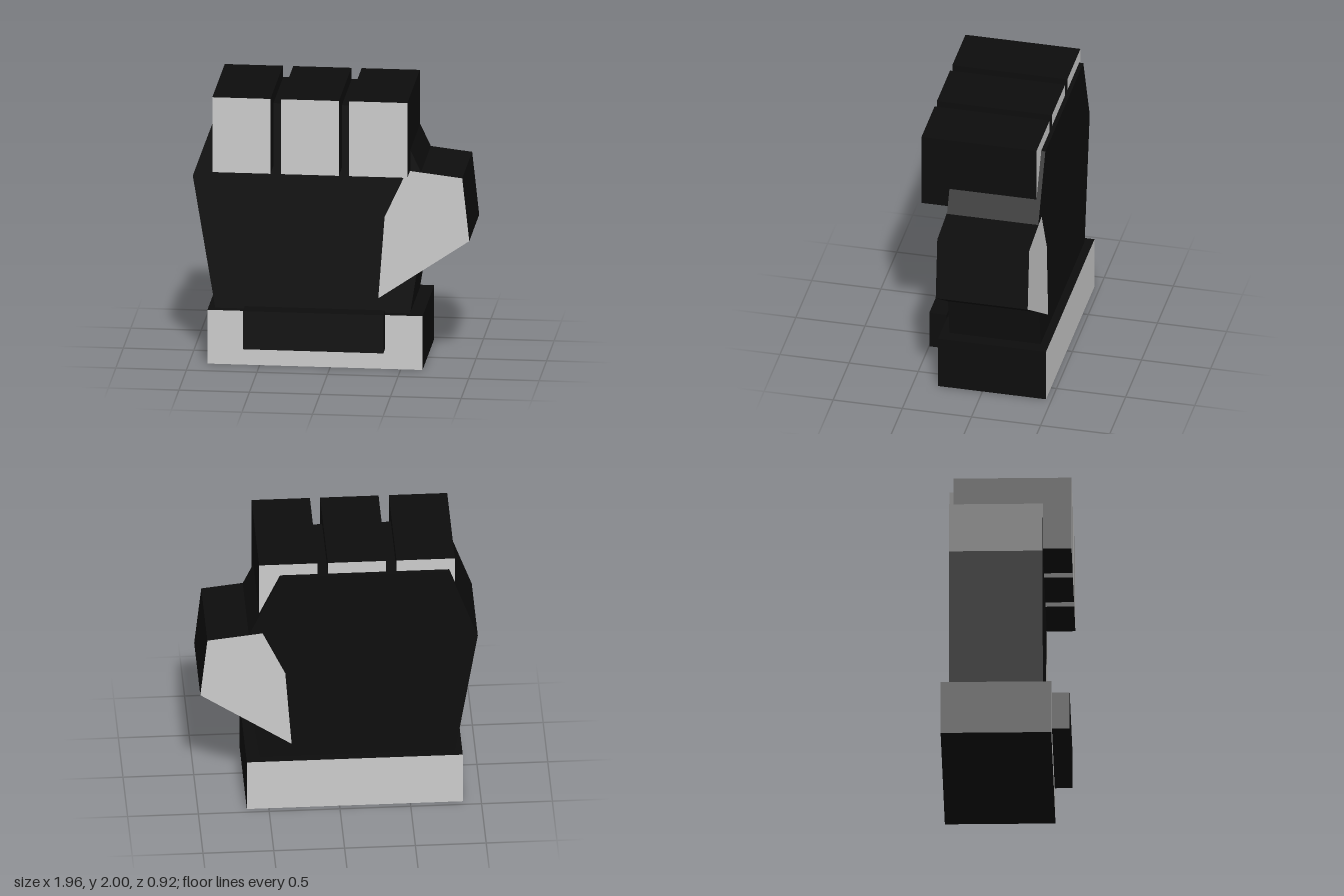
import * as THREE from 'three';

const grey = new THREE.MeshStandardMaterial({ color: 0xcccccc });
const black = new THREE.MeshStandardMaterial({ color: 0x0d0d0d });

// Box given by its [min, max] range on each axis; front and back faces take the cap material
function block(name, [x0, x1], [y0, y1], [z0, z1], cap) {
  const geometry = new THREE.BoxGeometry(x1 - x0, y1 - y0, z1 - z0);
  const mesh = new THREE.Mesh(geometry, [black, black, black, black, cap, cap]);
  mesh.name = name;
  mesh.position.set((x0 + x1) / 2, (y0 + y1) / 2, (z0 + z1) / 2);
  return mesh;
}

// Flat outline in x and y, extruded from z0 to z1
function slab(name, outline, [z0, z1], cap) {
  const shape = new THREE.Shape(outline.map(([x, y]) => new THREE.Vector2(x, y)));
  const geometry = new THREE.ExtrudeGeometry(shape, { depth: z1 - z0, bevelEnabled: false });
  const mesh = new THREE.Mesh(geometry, [cap, black]);
  mesh.name = name;
  mesh.position.z = z0;
  return mesh;
}

export function createModel() {
  const fist = new THREE.Group();
  fist.name = 'fist';

  // Cuff round the wrist, with a raised strap on the front
  fist.add(block('cuff', [-0.87, 0.655], [0, 0.395], [-0.46, 0.32], grey));
  fist.add(block('cuffStrap', [-0.605, 0.39], [0.15, 0.43], [0.32, 0.445], black));

  // Hand body
  fist.add(slab('palm', [
    [-0.82, 0.39], [0.56, 0.39], [0.7, 1.3], [0.415, 1.91], [-0.78, 1.91], [-0.98, 1.36],
  ], [-0.4, 0.26], black));

  // Three folded fingers
  for (let i = 0; i < 3; i++) {
    const x = -0.82 + i * 0.485;
    fist.add(block(`finger${i + 1}`, [x, x + 0.412], [1.45, 2], [-0.37, 0.462], grey));
  }

  // Thumb, a hair deeper than the palm so its faces stay clear
  fist.add(slab('thumb', [
    [0.335, 0.5], [0.98, 0.94], [0.93, 1.4], [0.54, 1.445], [0.38, 1.1],
  ], [-0.402, 0.263], grey));

  return fist;
}
